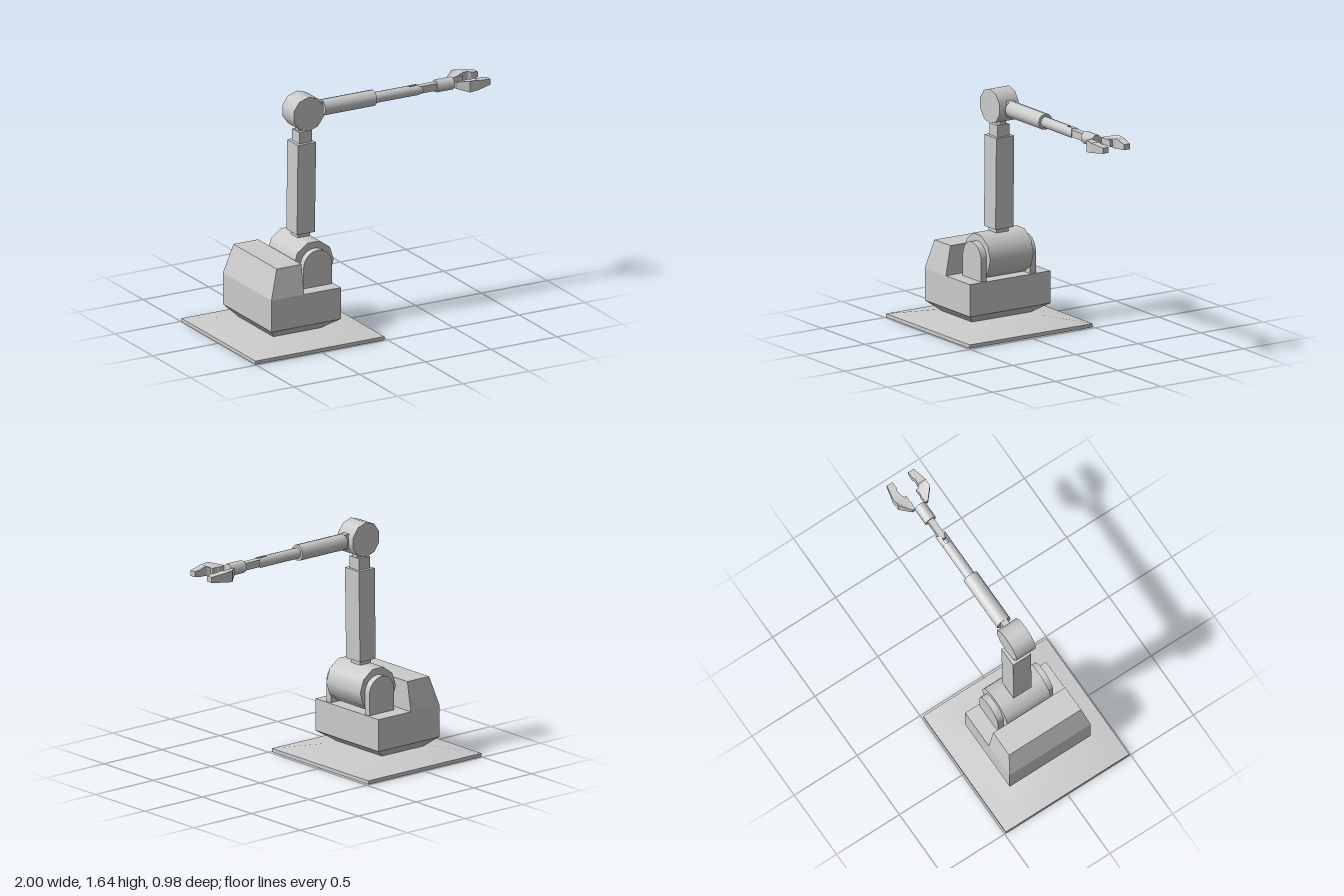
import * as THREE from 'three';

const Z = 0.013; // centre plane of the mechanism
const grey = new THREE.MeshStandardMaterial({ color: 0xcccccc });
const flat = new THREE.MeshStandardMaterial({ color: 0xcccccc, flatShading: true });

export function createModel() {
  const group = new THREE.Group();

  const add = (name, geometry, material = flat) => {
    const mesh = new THREE.Mesh(geometry, material);
    mesh.name = name;
    group.add(mesh);
    return mesh;
  };

  // Six-sided block between two rectangles [x0, x1, z0, z1] at heights y0 and y1
  const block = (name, y0, bottom, y1, top = bottom) => {
    const g = new THREE.BoxGeometry(1, 1, 1);
    const p = g.attributes.position;
    for (let i = 0; i < p.count; i++) {
      const r = p.getY(i) > 0 ? top : bottom;
      p.setXYZ(i, p.getX(i) < 0 ? r[0] : r[1], p.getY(i) > 0 ? y1 : y0, p.getZ(i) < 0 ? r[2] : r[3]);
    }
    g.computeVertexNormals();
    return add(name, g);
  };

  // Smoothly shaded sheet: slopes from an outer rectangle up to an inner one, closed by a cap
  const slope = (name, y0, outer, y1, inner, faceDown, capped = true) => {
    const corners = ([x0, x1, z0, z1], y) => [x0, y, z1, x1, y, z1, x1, y, z0, x0, y, z0];
    const index = capped ? [4, 5, 6, 4, 6, 7] : [];
    for (let i = 0; i < 4; i++) {
      const j = (i + 1) % 4;
      index.push(i, j, j + 4, i, j + 4, i + 4);
    }
    if (faceDown) index.reverse();
    const g = new THREE.BufferGeometry();
    g.setAttribute('position', new THREE.Float32BufferAttribute([...corners(outer, y0), ...corners(inner, y1)], 3));
    g.setIndex(index);
    g.computeVertexNormals();
    return add(name, g, capped ? grey : flat);
  };

  // Drum lying along z
  const drum = (name, x, y, r, z0, z1, turn) => {
    const g = new THREE.CylinderGeometry(r, r, z1 - z0, 10);
    g.rotateY(turn).rotateX(Math.PI / 2).translate(x, y, (z0 + z1) / 2);
    return add(name, g, grey);
  };

  // Rod lying along x
  const rod = (name, x0, x1, y, r, sides, turn = 0) => {
    const g = new THREE.CylinderGeometry(r, r, x1 - x0, sides);
    g.rotateY(turn).rotateZ(-Math.PI / 2).translate((x0 + x1) / 2, y, Z);
    return add(name, g, grey);
  };

  // Base plate: thin rim, sloping top and dished underside
  const plate = [-1, -0.02, -0.49, 0.49];
  const plateau = [-0.76, -0.26, -0.24, 0.24];
  slope('baseRim', 0, plate, 0.025, plate, false, false);
  slope('baseTop', 0.025, plate, 0.07, plateau, false);
  slope('baseUnderside', 0, plate, 0.05, plateau, true);

  // Turning body with undercut, rear housing and a foot showing below the plate
  const body = [-0.785, -0.257, -0.315, 0.328];
  const foot = [-0.72, -0.36, -0.23, 0.24];
  block('bodyFoot', 0.043, foot, 0.07);
  block('bodyUndercut', 0.07, foot, 0.14, body);
  block('body', 0.14, body, 0.36);
  block('rearHousing', 0.36, [-0.785, -0.537, -0.315, 0.328], 0.56, [-0.725, -0.537, -0.28, 0.292]);

  // Shoulder drum between two arched brackets
  drum('shoulderDrum', -0.382, 0.51, 0.153, -0.162, 0.184, Math.PI / 2);
  const arch = new THREE.Shape();
  arch.moveTo(-0.107, 0.36);
  arch.lineTo(0.107, 0.36);
  arch.absarc(0, 0.505, 0.107, 0, Math.PI, false);
  for (const z of [-0.208, 0.184]) {
    const g = new THREE.ExtrudeGeometry(arch, { depth: 0.046, bevelEnabled: false, curveSegments: 7 });
    g.translate(-0.377, 0, z);
    add('shoulderBracket', g);
  }

  // Lower arm, leaning very slightly
  block('lowerArmNeck', 0.63, [-0.43, -0.337, -0.035, 0.06], 0.69);
  block('lowerArm', 0.685, [-0.45, -0.315, -0.059, 0.083], 1.31, [-0.443, -0.305, -0.059, 0.083]);
  block('lowerArmCollar', 1.31, [-0.42, -0.325, -0.035, 0.06], 1.39);
  block('elbowStem', 1.39, [-0.41, -0.33, -0.012, 0.036], 1.43);

  // Elbow and upper arm
  const armY = 1.516;
  drum('elbowDrum', -0.367, 1.519, 0.119, -0.06, 0.093, Math.PI / 5);
  block('elbowTongue', 1.465, [-0.3, -0.22, -0.012, 0.036], 1.568);
  rod('upperArm', -0.225, 0.167, armY + 0.001, 0.055, 12);
  rod('forearm', 0.16, 0.44, armY - 0.001, 0.037, 12);

  // Forked forearm end with rounded tips
  const r = 0.037, gap = 0.013, a = Math.acos(gap / r);
  const prong = new THREE.Shape();
  prong.absarc(0, 0, r, -a, a, false);
  for (const turn of [0, Math.PI]) {
    const g = new THREE.ExtrudeGeometry(prong, { depth: 0.09, bevelEnabled: false, curveSegments: 8 });
    const p = g.attributes.position;
    for (let i = 0; i < p.count; i++) {
      if (p.getZ(i) > 0.05) p.setZ(i, 0.09 - 0.035 * (p.getY(i) / r) ** 2);
    }
    // Turn the half section, then lay the prong along x
    g.rotateZ(turn).rotateY(Math.PI / 2).translate(0.44, armY - 0.001, Z);
    g.computeVertexNormals();
    add('forkProng', g);
  }

  // Wrist
  block('wristLink', 1.49, [0.485, 0.645, Z - 0.022, Z + 0.022], 1.54);
  rod('wrist', 0.64, 0.767, armY - 0.001, 0.043, 8, Math.PI / 8);

  // Claw outline in (x, distance from centre plane), thinning towards both ends and the inner teeth
  const outline = [
    [0.762, 0.043], [0.81, 0.036], [0.825, 0.042], [0.87, 0.038], [0.87, 0.056], [0.892, 0.068],
    [0.93, 0.072], [0.95, 0.062], [1, 0.062], [1, 0.107], [0.89, 0.13], [0.835, 0.125], [0.762, 0.062],
  ];
  const halfHeight = (x, d) => {
    if (d < 0.06) return 0.021;
    return x < 0.835
      ? THREE.MathUtils.mapLinear(x, 0.762, 0.835, 0.021, 0.041)
      : THREE.MathUtils.mapLinear(x, 0.835, 1, 0.041, 0.019);
  };
  for (const side of [1, -1]) {
    const shape = new THREE.Shape(outline.map(([x, d]) => new THREE.Vector2(x, side * d)));
    const g = new THREE.ExtrudeGeometry(shape, { depth: 1, bevelEnabled: false });
    g.translate(0, 0, -0.5).rotateX(Math.PI / 2);
    const p = g.attributes.position;
    for (let i = 0; i < p.count; i++) {
      p.setY(i, Math.sign(p.getY(i)) * halfHeight(p.getX(i), Math.abs(p.getZ(i))));
    }
    g.translate(0, armY - 0.001, Z);
    g.computeVertexNormals();
    add(side > 0 ? 'frontClaw' : 'backClaw', g);
  }

  return group;
}
